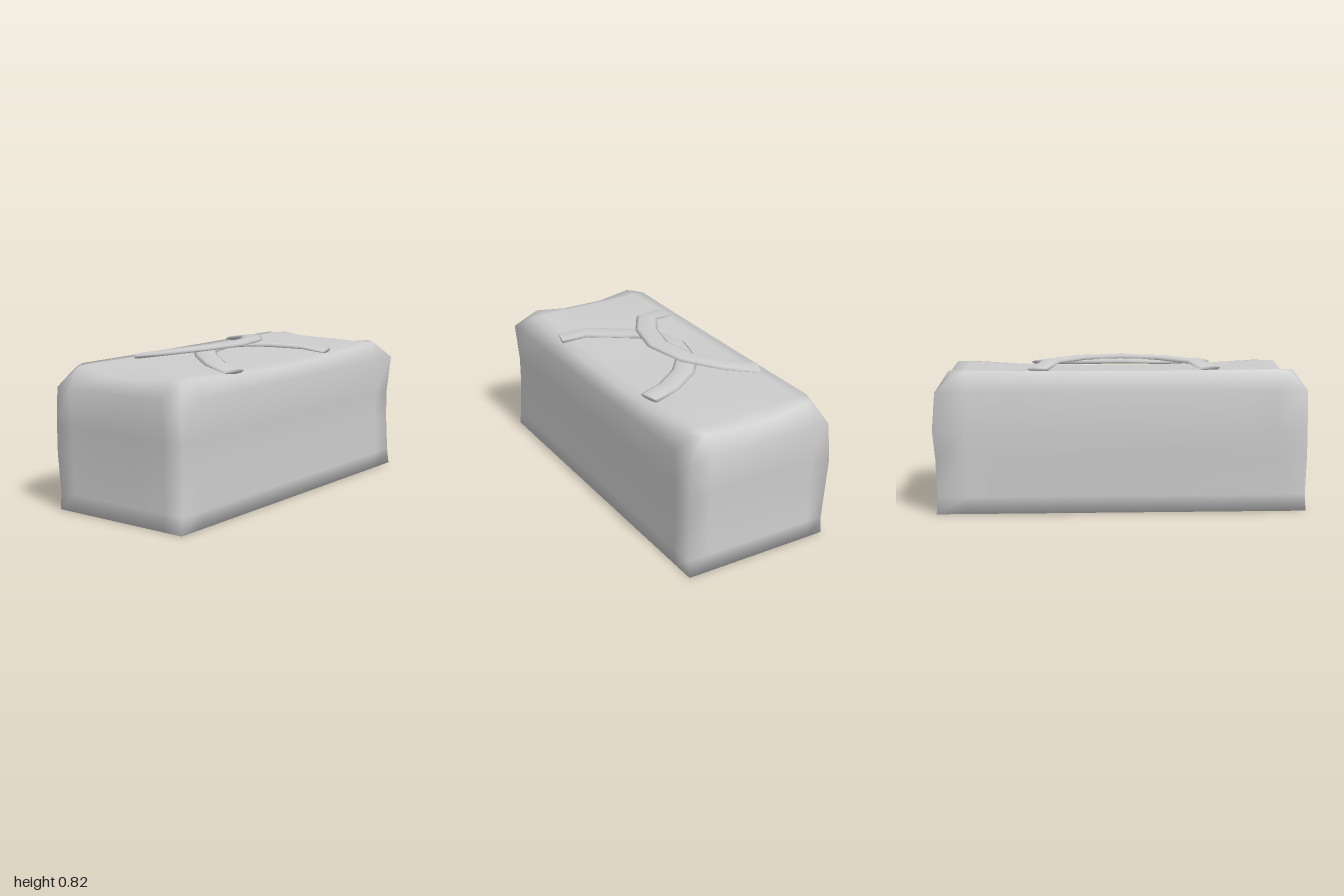
import * as THREE from 'three';
import { mergeVertices } from 'three/addons/utils/BufferGeometryUtils.js';

// Grid lines of the soft body
const X = [-1, -0.84, -0.5, -0.17, 0.17, 0.5, 0.83, 0.985];
const Y = [0, 0.09, 0.3, 0.45, 0.655, 0.765];
const Z = [-0.41, -0.32, -0.13, 0.12, 0.3, 0.42];

// Sag of the top from back to front, at the ends and in the middle
const END_SAG = [0.012, 0.005, 0.035, 0.035, 0.01, 0.018];
const MIDDLE_SAG = [0.005, 0.008, 0.02, 0.025, 0.035, 0.045];

function createBodyGeometry() {
  const nx = X.length - 1, ny = Y.length - 1, nz = Z.length - 1;
  let geo = new THREE.BoxGeometry(1, 1, 1, nx, ny, nz);
  geo.deleteAttribute('uv');
  geo.deleteAttribute('normal');
  geo = mergeVertices(geo, 1e-4);
  const p = geo.attributes.position;
  for (let n = 0; n < p.count; n++) {
    const i = Math.round((p.getX(n) + 0.5) * nx);
    const j = Math.round((p.getY(n) + 0.5) * ny);
    const k = Math.round((p.getZ(n) + 0.5) * nz);
    let x = X[i], y = Y[j], z = Z[k];
    const endX = i === 0 ? -1 : i === nx ? 1 : 0;
    const endZ = k === 0 ? -1 : k === nz ? 1 : 0;
    const middle = 1 - Math.min(1, x * x);
    const backCorner = endX !== 0 && endZ < 0;
    if (j === ny) {
      // bevelled rim with rounded corners and a sagging top
      const corner = endX && endZ ? 0.02 : 0;
      x -= endX * (0.07 + corner);
      z -= endZ * ((endZ > 0 ? 0.05 : 0.03) + corner);
      y -= endX ? END_SAG[k] : MIDDLE_SAG[k] * middle;
    } else if (j === 2 || j === 3) {
      // soft cloth: front corners pulled in, back bulging slightly
      if (backCorner) x += endX > 0 && j === 3 ? 0.015 : 0;
      else x -= endX * (endZ > 0 ? 0.025 : 0.012);
      if (endZ < 0) z -= backCorner ? 0.01 : 0.012 * middle;
      if (endZ > 0) z -= 0.01;
    } else if (j === 1) {
      x -= endX * (backCorner ? 0.005 : 0.014);
      z -= endZ * 0.004;
    }
    p.setXYZ(n, x, y, z);
  }
  geo.computeVertexNormals();
  return geo;
}

// Flattened strap swept along a list of centre points
function createStrapGeometry(points, halfWidth = 0.064, halfHeight = 0.014, sides = 8) {
  const pts = points.map((a) => new THREE.Vector3(...a));
  const pos = [], index = [];
  pts.forEach((c, i) => {
    const t = pts[Math.min(i + 1, pts.length - 1)].clone().sub(pts[Math.max(i - 1, 0)]);
    const across = new THREE.Vector3(-t.z, 0, t.x).normalize();
    const up = new THREE.Vector3().crossVectors(across, t.normalize());
    for (let s = 0; s < sides; s++) {
      const a = (s / sides) * Math.PI * 2;
      const v = c.clone().addScaledVector(across, Math.cos(a) * halfWidth)
        .addScaledVector(up, Math.sin(a) * halfHeight);
      pos.push(v.x, v.y, v.z);
    }
  });
  for (let i = 0; i < pts.length - 1; i++) {
    for (let s = 0; s < sides; s++) {
      const a = i * sides + s, b = i * sides + (s + 1) % sides;
      index.push(a, a + sides, b, b, a + sides, b + sides);
    }
  }
  // end caps
  const last = (pts.length - 1) * sides;
  for (let s = 1; s < sides - 1; s++) {
    index.push(0, s, s + 1, last, last + s + 1, last + s);
  }
  const geo = new THREE.BufferGeometry();
  geo.setAttribute('position', new THREE.Float32BufferAttribute(pos, 3));
  geo.setIndex(index);
  geo.computeVertexNormals();
  return geo;
}

export function createModel() {
  const group = new THREE.Group();
  group.name = 'duffelBag';
  const cloth = new THREE.MeshStandardMaterial({ color: 0xcccccc });
  cloth.name = 'greyCloth';

  const add = (name, geometry) => {
    const mesh = new THREE.Mesh(geometry, cloth);
    mesh.name = name;
    group.add(mesh);
  };

  add('body', createBodyGeometry());

  // Front handle lies backwards, underneath the back handle
  add('frontHandle', createStrapGeometry([
    [-0.5, 0.745, 0.36], [-0.46, 0.764, 0.21], [-0.31, 0.774, 0.03], [-0.21, 0.782, -0.06],
    [-0.01, 0.79, -0.1], [0.18, 0.782, -0.06], [0.29, 0.774, 0.03], [0.39, 0.764, 0.18],
    [0.425, 0.748, 0.32],
  ]));

  // Back handle folds forward over it
  add('backHandle', createStrapGeometry([
    [-0.485, 0.766, -0.31], [-0.42, 0.79, -0.165], [-0.24, 0.803, -0.055], [-0.02, 0.807, 0],
    [0.2, 0.805, -0.045], [0.37, 0.795, -0.18], [0.44, 0.766, -0.35],
  ]));

  return group;
}
